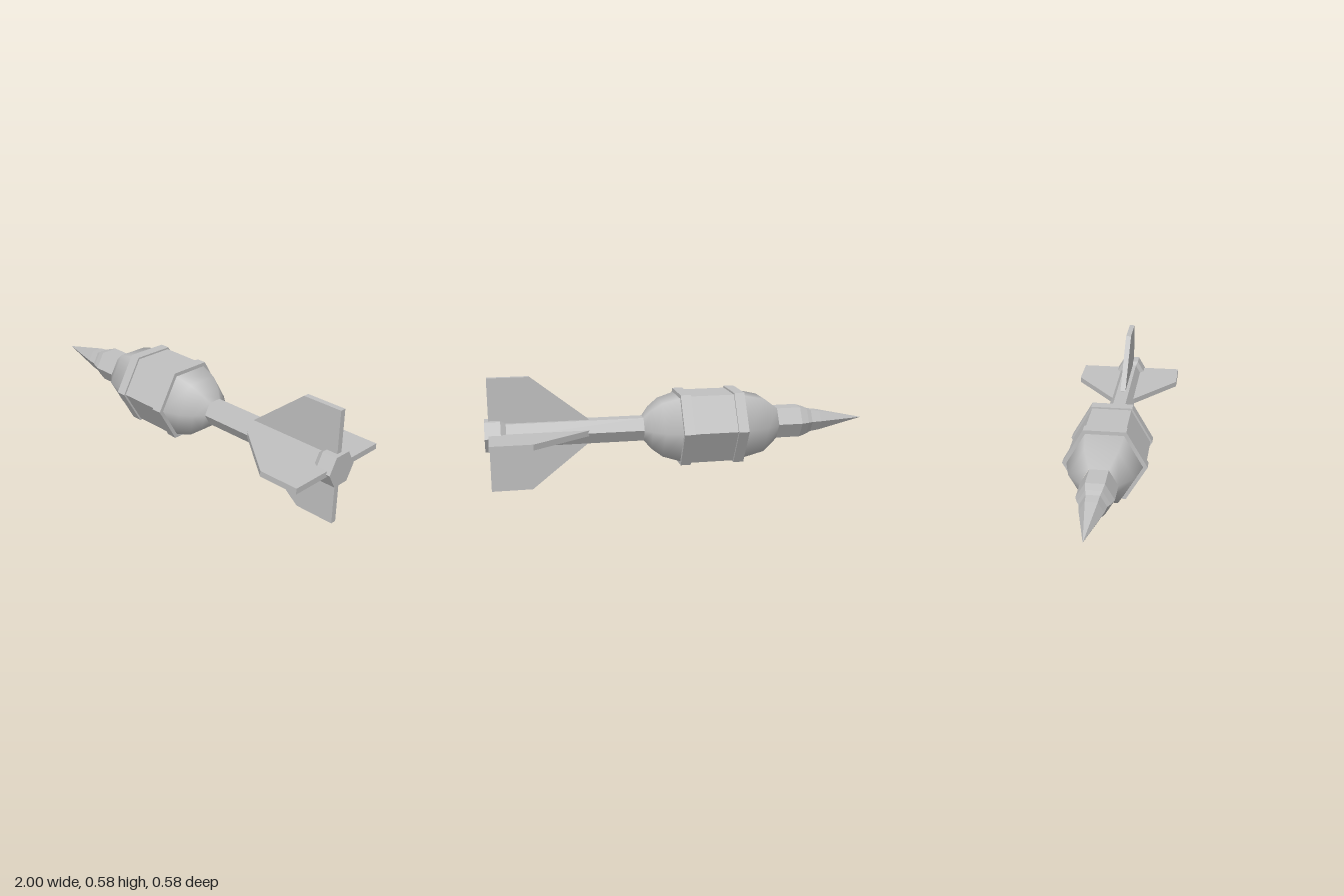
import * as THREE from 'three';

const AXIS_Y = 0.289;          // height of the long axis
const HEX = Math.cos(Math.PI / 6); // apothem / corner radius

// Six-sided turned part along x; profile is [x, apothem] from nose to tail
function hexTurned(name, profile, material, smooth = false) {
  const points = profile.map(([x, a]) => new THREE.Vector2(a / HEX, x));
  let geometry = new THREE.LatheGeometry(points, 6);
  if (!smooth) {
    geometry = geometry.toNonIndexed();
    geometry.computeVertexNormals();
  }
  geometry.rotateZ(-Math.PI / 2);
  const mesh = new THREE.Mesh(geometry, material);
  mesh.name = name;
  return mesh;
}

export function createModel() {
  const model = new THREE.Group();
  model.name = 'rocketGrenade';
  const grey = new THREE.MeshStandardMaterial({ color: 0xc0c0c0 });
  grey.name = 'plain grey';

  const rocket = new THREE.Group();
  rocket.name = 'rocket';
  rocket.position.y = AXIS_Y;
  model.add(rocket);

  // Pointed nose with a stepped collar
  rocket.add(hexTurned('noseCone', [
    [-1, 0], [-0.75, 0.05], [-0.7, 0.056], [-0.675, 0.067], [-0.634, 0.079], [-0.5, 0.079],
  ], grey));

  // Rounded shoulders on either side of the hexagonal body
  rocket.add(hexTurned('frontShoulder', [
    [-0.505, 0], [-0.505, 0.08], [-0.425, 0.139], [-0.307, 0.164],
  ].slice(1), grey, true));
  rocket.add(hexTurned('rearShoulder', [
    [0.027, 0.164], [0.115, 0.139], [0.17, 0.1], [0.206, 0.059],
  ], grey, true));
  rocket.add(hexTurned('body', [[-0.26, 0.174], [-0.02, 0.174]], grey));

  // Raised bands at both ends of the body
  for (const [name, x] of [['frontBand', -0.28], ['rearBand', 0]]) {
    rocket.add(hexTurned(name, [
      [x - 0.027, 0.15], [x - 0.027, 0.183], [x + 0.027, 0.183], [x + 0.027, 0.15],
    ], grey));
  }

  // Tail tube with a flared, closed end
  rocket.add(hexTurned('tailTube', [
    [0.2, 0.059], [0.896, 0.059], [0.922, 0.0755], [1, 0.0755], [1, 0],
  ], grey));

  // Four swept fins
  const outline = new THREE.Shape([
    [0.485, 0.04], [0.98, 0.04], [0.98, 0.289], [0.775, 0.289], [0.485, 0.06],
  ].map(([x, r]) => new THREE.Vector2(x, r)));
  const finGeometry = new THREE.ExtrudeGeometry(outline, { depth: 0.029, bevelEnabled: false });
  finGeometry.translate(0, 0, -0.0145);
  ['topFin', 'frontFin', 'bottomFin', 'backFin'].forEach((name, i) => {
    const fin = new THREE.Mesh(finGeometry, grey);
    fin.name = name;
    fin.rotation.x = i * Math.PI / 2;
    rocket.add(fin);
  });

  return model;
}
